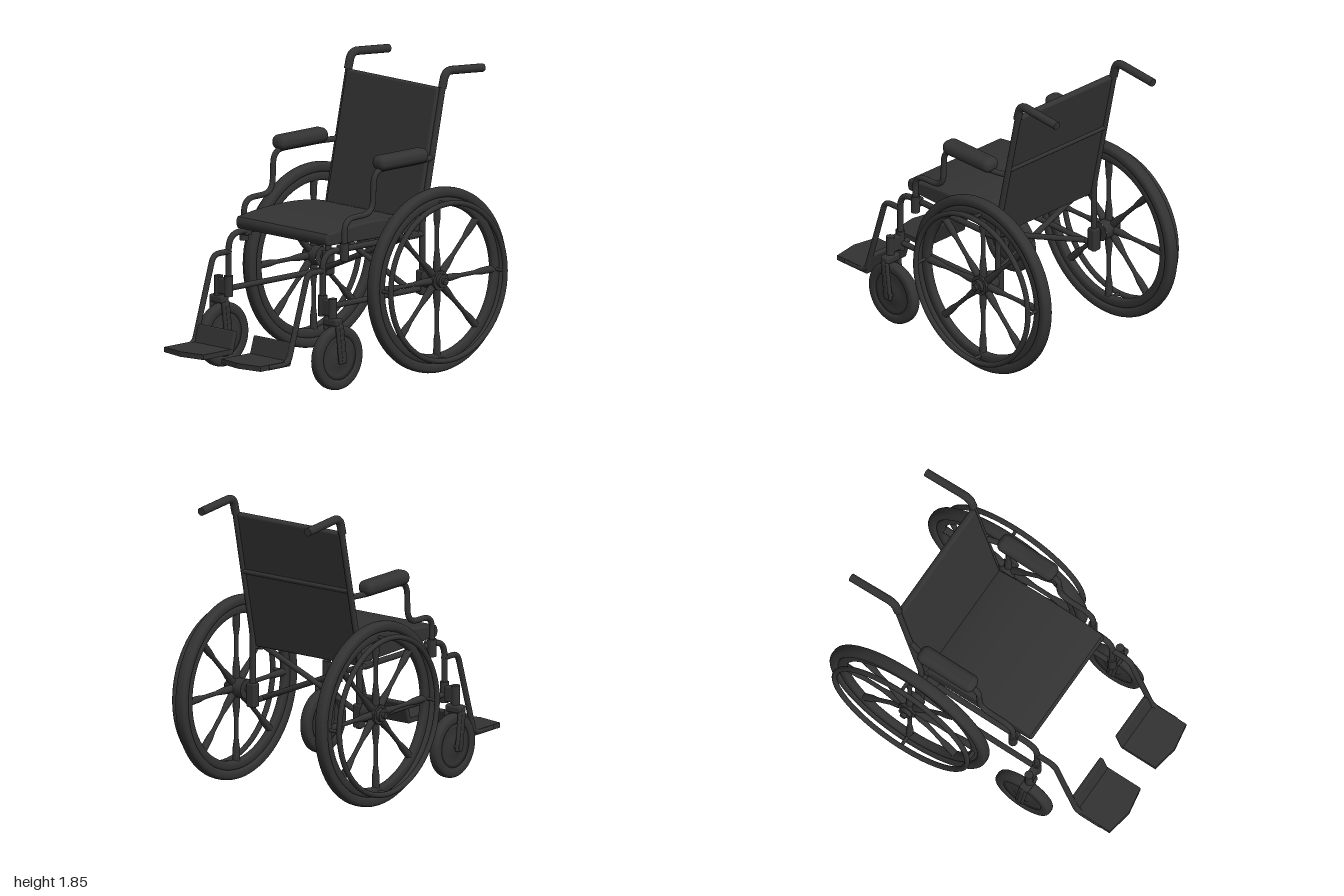
import * as THREE from 'three';
import { RoundedBoxGeometry } from 'three/addons/geometries/RoundedBoxGeometry.js';
import { mergeGeometries } from 'three/addons/utils/BufferGeometryUtils.js';

const material = new THREE.MeshStandardMaterial({ color: 0x333333 });
const V = (p) => new THREE.Vector3(...p);

function add(parent, name, geometry, x = 0, y = 0, z = 0) {
  const mesh = new THREE.Mesh(geometry, material);
  mesh.name = name;
  mesh.position.set(x, y, z);
  parent.add(mesh);
  return mesh;
}

// Capped tube through points, with each corner rounded by the given radius
function pipe(parent, name, points, r, corner = 0.08) {
  const pts = points.map(V);
  const path = new THREE.CurvePath();
  let from = pts[0];
  for (let i = 1; i < pts.length - 1; i++) {
    const toPrev = pts[i - 1].clone().sub(pts[i]);
    const toNext = pts[i + 1].clone().sub(pts[i]);
    const c = Math.min(corner, toPrev.length() * 0.49, toNext.length() * 0.49);
    const a = pts[i].clone().addScaledVector(toPrev.normalize(), c);
    const b = pts[i].clone().addScaledVector(toNext.normalize(), c);
    path.add(new THREE.LineCurve3(from, a));
    path.add(new THREE.QuadraticBezierCurve3(a, pts[i], b));
    from = b;
  }
  path.add(new THREE.LineCurve3(from, pts[pts.length - 1]));
  const parts = [new THREE.TubeGeometry(path, pts.length > 2 ? 70 : 1, r, 14)];
  for (const t of [0, 1]) {
    const dir = path.getTangentAt(t).multiplyScalar(t ? 1 : -1);
    const cap = new THREE.CircleGeometry(r, 14);
    cap.applyQuaternion(new THREE.Quaternion().setFromUnitVectors(V([0, 0, 1]), dir));
    const p = path.getPointAt(t);
    parts.push(cap.translate(p.x, p.y, p.z));
  }
  return add(parent, name, mergeGeometries(parts));
}

// Ring or disc turned about the z axis from [radius, z] pairs
function turned(parent, name, profile, segments = 72) {
  const g = new THREE.LatheGeometry(profile.map(([r, z]) => new THREE.Vector2(r, z)), segments);
  return add(parent, name, g.rotateX(Math.PI / 2));
}

// Closed rounded cross-section for a tyre or rim
function ovalRing(radius, halfHeight, halfWidth, power = 0.7) {
  const bend = (v) => Math.sign(v) * Math.abs(v) ** power;
  return Array.from({ length: 21 }, (_, i) => {
    const a = (i / 20) * Math.PI * 2;
    return [radius + halfHeight * bend(Math.cos(a)), halfWidth * bend(Math.sin(a))];
  });
}

function driveWheel(s) {
  const wheel = new THREE.Group();
  wheel.name = 'driveWheel';
  wheel.position.set(0.42, 0.58, 0.537 * s);
  turned(wheel, 'tyre', ovalRing(0.543, 0.032, 0.038));
  turned(wheel, 'rim', ovalRing(0.488, 0.03, 0.026));
  add(wheel, 'pushRim', new THREE.TorusGeometry(0.488, 0.017, 12, 72), 0, 0, 0.096 * s);
  const spoke = [[0.024, 0.04], [0.023, 0.12], [0.014, 0.2], [0.014, 0.32], [0.022, 0.38], [0.024, 0.47]]
    .map(([r, y]) => new THREE.Vector2(r, y));
  for (let i = 0; i < 8; i++) {
    const a = (i * Math.PI) / 4;
    add(wheel, 'spoke', new THREE.LatheGeometry(spoke, 12)).rotation.z = a;
    if (i % 2 === 0) {
      const x = 0.486 * Math.cos(a), y = 0.486 * Math.sin(a);
      pipe(wheel, 'pushRimPost', [[x, y, 0.01 * s], [x, y, 0.096 * s]], 0.011);
    }
  }
  pipe(wheel, 'hub', [[0, 0, -0.08 * s], [0, 0, 0.035 * s]], 0.062);
  pipe(wheel, 'hubCap', [[0, 0, 0.02 * s], [0, 0, 0.06 * s]], 0.042);
  pipe(wheel, 'axle', [[0, 0, -0.14 * s], [0, 0, 0.08 * s]], 0.02);
  return wheel;
}

function caster(s) {
  const group = new THREE.Group();
  group.name = 'caster';
  group.position.z = 0.497 * s;
  const wheel = new THREE.Group();
  wheel.name = 'casterWheel';
  wheel.position.set(-0.395, 0.208, 0);
  group.add(wheel);
  turned(wheel, 'casterTyre', ovalRing(0.166, 0.034, 0.035), 48);
  turned(wheel, 'casterDisc', [[0, -0.03], [0.05, -0.03], [0.06, -0.02], [0.115, -0.016],
    [0.14, -0.025], [0.14, 0.025], [0.115, 0.016], [0.06, 0.02], [0.05, 0.03], [0, 0.03]], 48);
  pipe(wheel, 'casterAxle', [[0, 0, -0.068], [0, 0, 0.068]], 0.022);
  // Inverted U fork, leaning back to the axle
  pipe(group, 'fork', [[-0.395, 0.19, -0.052], [-0.425, 0.44, -0.052],
    [-0.425, 0.44, 0.052], [-0.395, 0.19, 0.052]], 0.018, 0.045);
  for (const z of [-0.052, 0.052]) {
    add(group, 'forkArm', new RoundedBoxGeometry(0.062, 0.25, 0.026, 2, 0.012), -0.409, 0.3, z).rotation.z = 0.12;
  }
  add(group, 'forkCrown', new RoundedBoxGeometry(0.065, 0.05, 0.12, 2, 0.015), -0.427, 0.435, 0);
  pipe(group, 'stem', [[-0.43, 0.42, 0], [-0.43, 0.58, 0]], 0.027);
  add(group, 'stemBracket', new RoundedBoxGeometry(0.045, 0.1, 0.1, 2, 0.01), -0.43, 0.52, -0.045 * s);
  return group;
}

function legRest(s) {
  const group = new THREE.Group();
  group.name = 'legRest';
  pipe(group, 'legTube', [[-0.42, 0.74, 0.41 * s], [-0.56, 0.74, 0.41 * s],
    [-0.725, 0.205, 0.41 * s], [-0.9, 0.205, 0.41 * s]], 0.018, 0.05);
  // Pointed sole plate with an upturned heel
  const sole = new THREE.Shape([[-0.72, -0.17], [-0.72, 0.17], [-0.97, 0.17], [-1, 0], [-0.97, -0.17]]
    .map(([x, y]) => new THREE.Vector2(x, y)));
  const plate = new THREE.ExtrudeGeometry(sole, { depth: 0.032, bevelEnabled: false }).rotateX(Math.PI / 2);
  add(group, 'footPlate', plate, 0, 0.222, 0.25 * s);
  add(group, 'heelPlate', new RoundedBoxGeometry(0.03, 0.145, 0.34, 2, 0.01), -0.706, 0.258, 0.25 * s).rotation.z = -0.3;
  return group;
}

function armRest(s) {
  const group = new THREE.Group();
  group.name = 'armRest';
  const z = 0.437 * s;
  pipe(group, 'armTube', [[-0.272, 0.79, z], [-0.272, 1.04, z], [-0.03, 1.045, z],
    [-0.02, 1.31, z], [0.38, 1.31, z], [0.49, 1.31, 0.41 * s]], 0.018, 0.085);
  pipe(group, 'armSocket', [[-0.272, 0.785, z], [-0.272, 0.895, z]], 0.028);
  add(group, 'armClamp', new RoundedBoxGeometry(0.055, 0.06, 0.06, 2, 0.01), -0.272, 0.85, 0.42 * s);
  add(group, 'armPad', new RoundedBoxGeometry(0.41, 0.092, 0.115, 5, 0.042), 0.207, 1.348, z);
  return group;
}

function sideFrame(s) {
  const group = new THREE.Group();
  group.name = 'sideFrame';
  const z = 0.41 * s;
  pipe(group, 'seatRail', [[-0.43, 0.46, z], [-0.43, 0.85, z], [0.42, 0.85, z]], 0.019, 0.1);
  pipe(group, 'lowerRail', [[-0.43, 0.51, z], [0.42, 0.51, z]], 0.018);
  pipe(group, 'backPost', [[0.42, 0.47, z], [0.42, 0.93, z], [0.597, 1.75, z]], 0.019, 0.06);
  pipe(group, 'handGrip', [[0.59, 1.73, z], [0.618, 1.835, z], [0.935, 1.808, z]], 0.026, 0.09);
  pipe(group, 'frontSleeve', [[-0.43, 0.46, z], [-0.43, 0.59, z]], 0.028);
  add(group, 'axlePlate', new RoundedBoxGeometry(0.06, 0.15, 0.06, 2, 0.01), 0.42, 0.55, z);
  add(group, 'braceBracket', new RoundedBoxGeometry(0.085, 0.045, 0.05, 2, 0.01), 0.335, 0.85, 0.4 * s);
  return group;
}

export function createModel() {
  const model = new THREE.Group();
  model.name = 'wheelchair';
  for (const s of [1, -1]) {
    model.add(driveWheel(s), caster(s), legRest(s), armRest(s), sideFrame(s));
    // One half of the folding cross brace
    pipe(model, 'crossBrace', [[0.328 + 0.008 * s, 0.85, 0.4 * s], [0.328 + 0.008 * s, 0.515, -0.4 * s]], 0.018);
  }

  // Domed seat cushion
  const side = new THREE.Shape();
  side.moveTo(-0.365, 0.893);
  side.lineTo(0.4, 0.873);
  side.lineTo(0.4, 0.925);
  side.bezierCurveTo(0.2, 0.985, -0.1, 0.985, -0.365, 0.942);
  side.quadraticCurveTo(-0.38, 0.92, -0.365, 0.893);
  const seat = new THREE.ExtrudeGeometry(side, {
    depth: 0.77, bevelThickness: 0.012, bevelSize: 0.012, bevelSegments: 3, curveSegments: 16,
  });
  add(model, 'seatCushion', seat, 0, 0, -0.385);

  // Leaning backrest panel with a seam bar behind it
  add(model, 'backrest', new RoundedBoxGeometry(0.042, 0.9, 0.8, 3, 0.018), 0.485, 1.295, 0).rotation.z = -0.213;
  pipe(model, 'backSeam', [[0.513, 1.35, -0.4], [0.513, 1.35, 0.4]], 0.017);
  return model;
}
